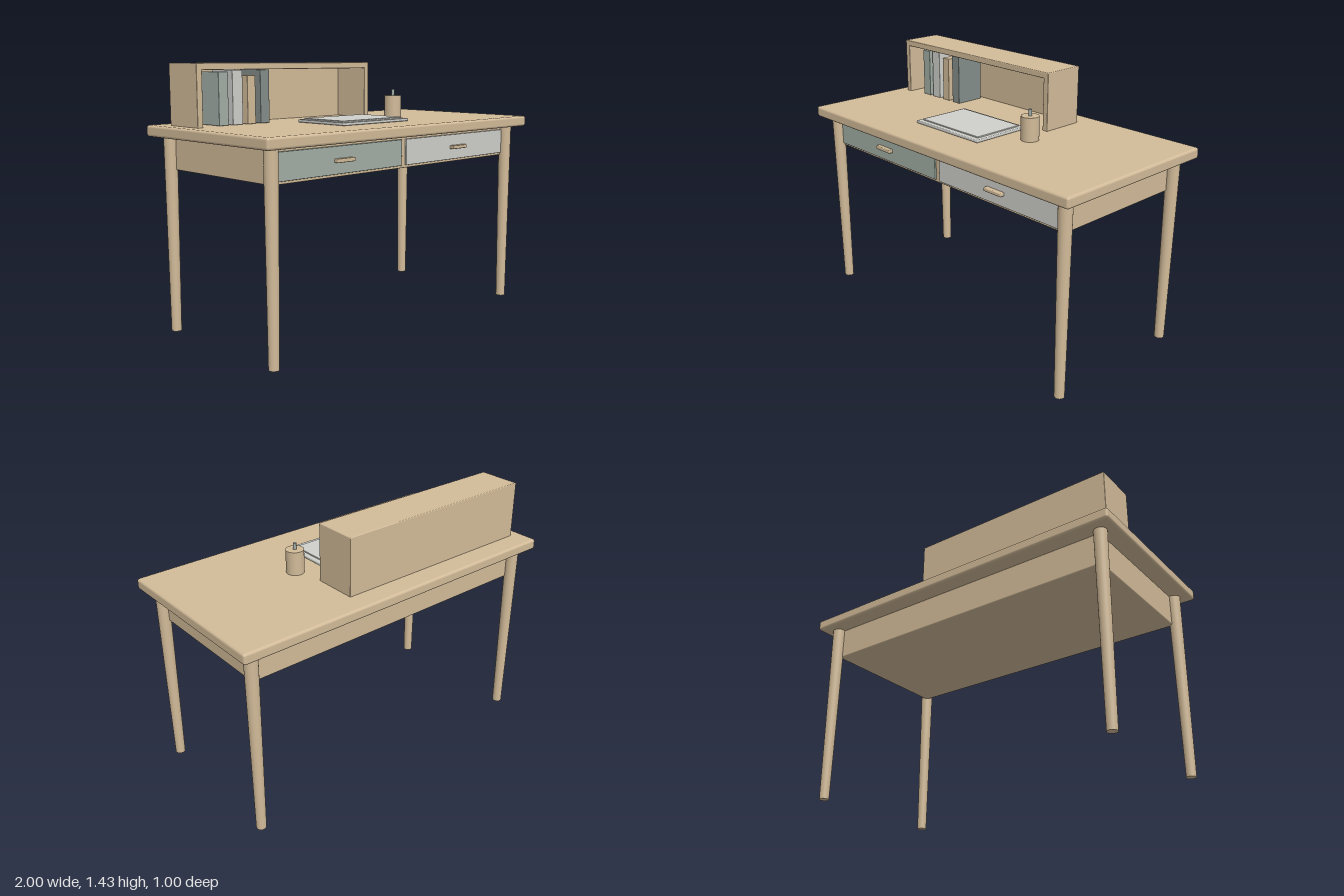
import * as THREE from 'three';
import { RoundedBoxGeometry } from 'three/addons/geometries/RoundedBoxGeometry.js';

function material(name, color) {
  const m = new THREE.MeshStandardMaterial({ color });
  m.name = name;
  return m;
}

export function createModel() {
  const desk = new THREE.Group();
  desk.name = 'desk';
  const wood = material('wood', 0xd2bb99);
  const sage = material('sage', 0xa2aea6);
  const pale = material('paleGrey', 0xcfcfcb);
  const slate = material('slate', 0x848e8a);

  const add = (name, geometry, mat, x, y, z) => {
    const mesh = new THREE.Mesh(geometry, mat);
    mesh.name = name;
    mesh.position.set(x, y, z);
    desk.add(mesh);
    return mesh;
  };
  // Soft-edged box given by its limits on each axis
  const box = (name, mat, [x0, x1], [y0, y1], [z0, z1], bevel = 0.003) =>
    add(name, new RoundedBoxGeometry(x1 - x0, y1 - y0, z1 - z0, 2, bevel), mat,
      (x0 + x1) / 2, (y0 + y1) / 2, (z0 + z1) / 2);

  // Table top and the drawer case beneath it
  box('tableTop', wood, [-1, 1], [1.05, 1.11], [-0.5, 0.5], 0.014);
  box('drawerCase', wood, [-0.9, 0.9], [0.875, 1.052], [-0.4, 0.4], 0.006);

  // Tapered round legs
  for (const x of [-0.91, 0.91]) {
    for (const z of [-0.412, 0.412]) {
      add('leg', new THREE.CylinderGeometry(0.036, 0.027, 1.052, 24), wood, x, 0.526, z);
    }
  }

  // Drawer fronts with bar handles
  for (const [side, mat] of [[-1, sage], [1, pale]]) {
    const x = side * 0.447;
    box('drawerFront', mat, [x - 0.43, x + 0.43], [0.89, 1.03], [0.39, 0.41]);
    box('drawerHandle', wood, [x - 0.062, x + 0.062], [0.949, 0.969], [0.405, 0.435], 0.005);
  }

  // Open-fronted shelf: top, two sides and back
  const zs = [-0.375, -0.13];
  box('shelfTop', wood, [-0.93, 0.283], [1.396, 1.43], zs, 0.005);
  box('shelfSide', wood, [-0.93, -0.896], [1.108, 1.427], zs, 0.004);
  box('shelfSide', wood, [0.249, 0.283], [1.108, 1.427], zs, 0.004);
  box('shelfBack', wood, [-0.927, 0.28], [1.108, 1.427], [-0.375, -0.355], 0.004);

  // Books: left edge, width, top, material
  for (const [x, w, top, mat] of [
    [-0.785, 0.06, 1.386, sage],
    [-0.698, 0.065, 1.394, pale],
    [-0.602, 0.053, 1.366, wood],
    [-0.516, 0.06, 1.394, slate],
  ]) {
    box('book', mat, [x, x + w], [1.112, top], [-0.325, -0.15], 0.002);
  }

  // Notebook cover and pages
  box('notebookCover', pale, [-0.322, 0.175], [1.111, 1.127], [-0.073, 0.282], 0.005);
  box('notebookPages', pale, [-0.3, 0.15], [1.122, 1.134], [-0.048, 0.254], 0.003);

  // Pen pot with a pen
  add('penPot', new THREE.CylinderGeometry(0.049, 0.049, 0.13, 32), wood, 0.316, 1.175, 0.036);
  add('pen', new THREE.CylinderGeometry(0.009, 0.009, 0.135, 12), sage, 0.316, 1.2075, 0.036);

  return desk;
}
